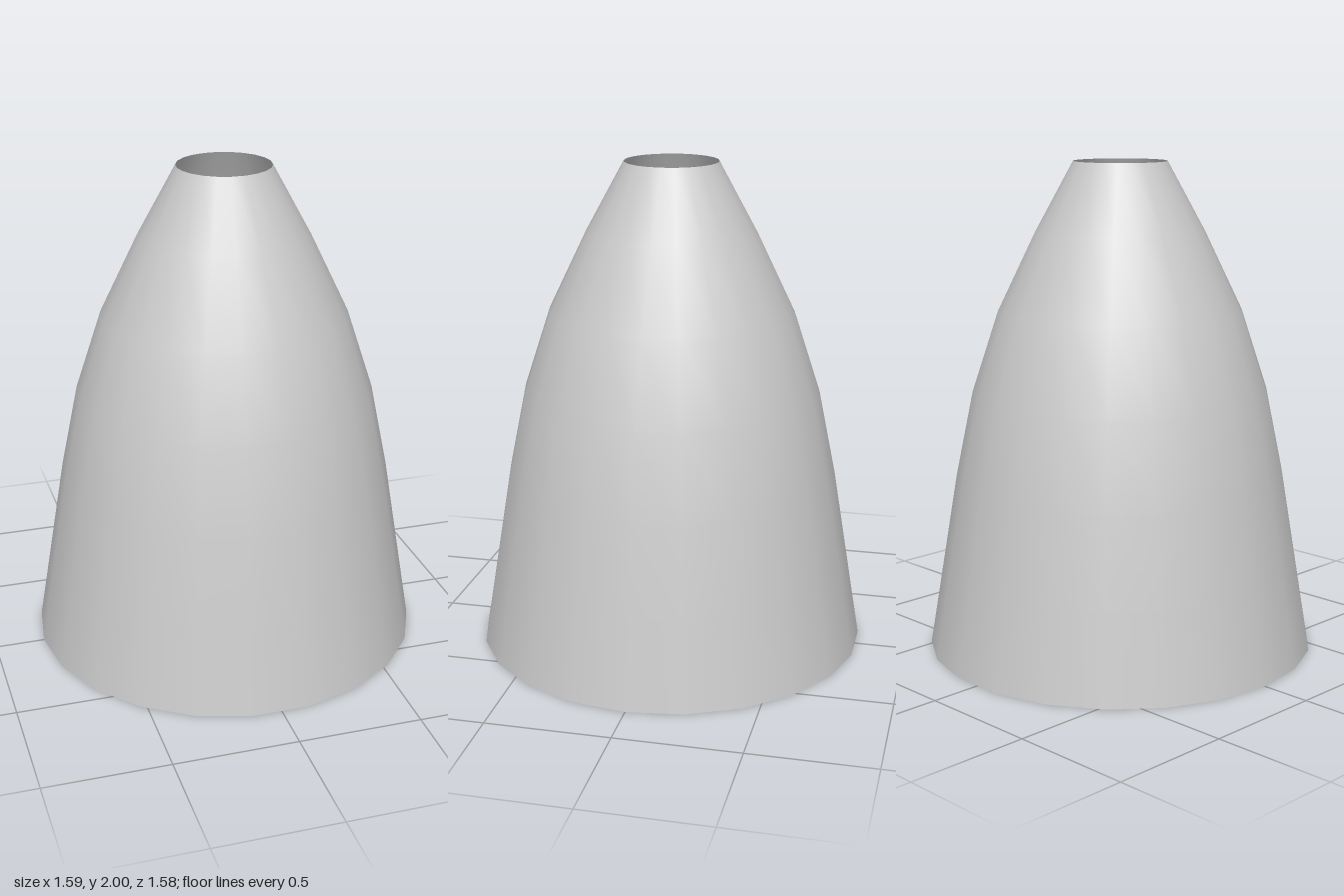
import * as THREE from 'three';

export function createModel() {
  const group = new THREE.Group();

  // Profile from the wide open base up to the narrow open top: [radius, height]
  const profile = [
    [0.797, 0], [0.737, 0.36], [0.677, 0.72], [0.605, 1.07],
    [0.497, 1.4], [0.343, 1.72], [0.19, 2],
  ].map(([r, y]) => new THREE.Vector2(r, y));

  // Thin 22-sided shell, open at both ends, with a corner on the x axis
  const shell = new THREE.Mesh(
    new THREE.LatheGeometry(profile, 22, Math.PI / 2),
    new THREE.MeshStandardMaterial({ color: 0xcccccc, side: THREE.DoubleSide })
  );
  shell.name = 'taperedShell';
  group.add(shell);

  return group;
}
